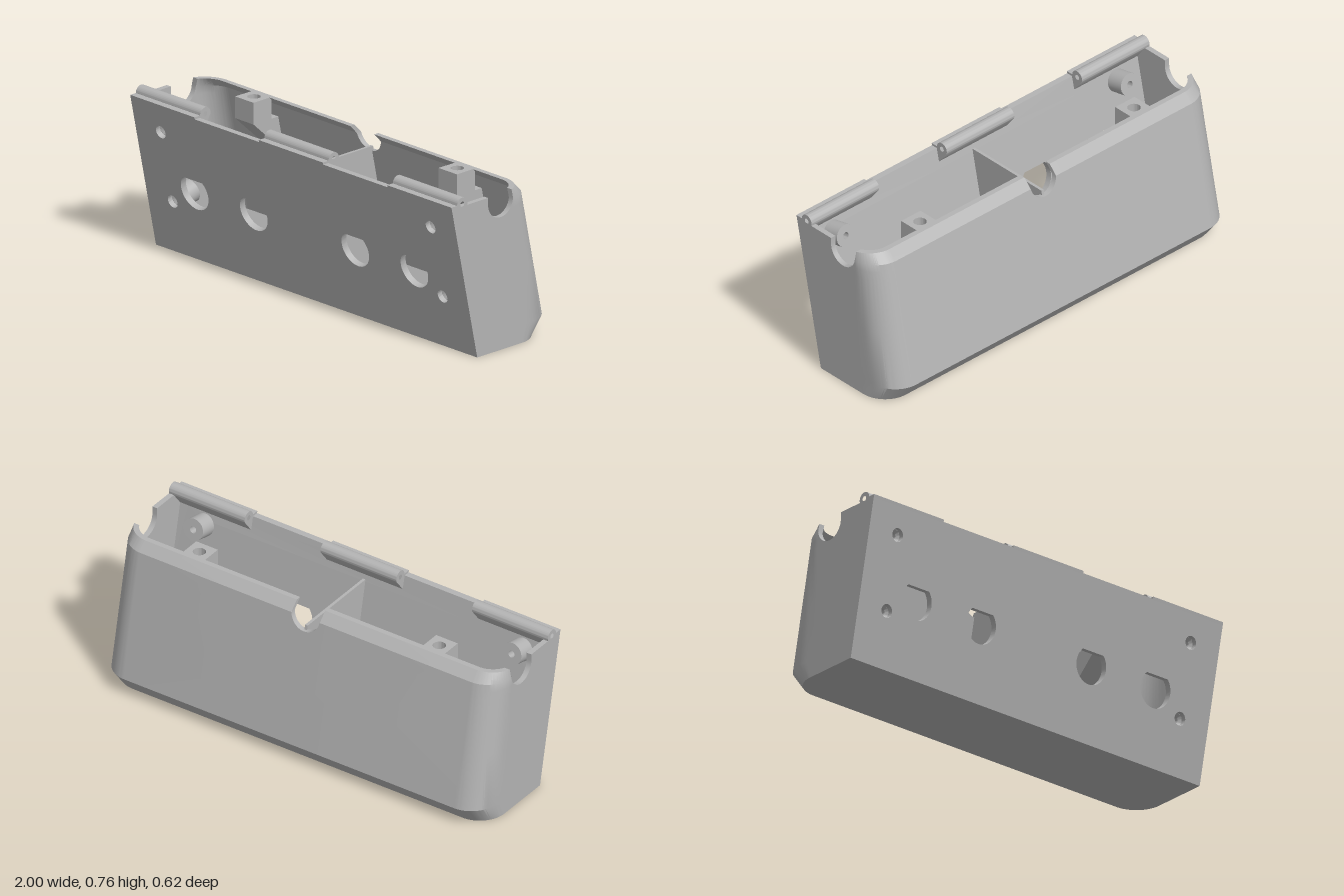
import * as THREE from 'three';
import { toCreasedNormals } from 'three/addons/utils/BufferGeometryUtils.js';

const TOP = 0.717, WALL = 0.025, R = 0.13, SLOPE = 0.213;
const NOTCH = 0.075, NOTCH_Y = 0.685, NOTCH_Z = 0.015;
const lerp = THREE.MathUtils.lerp;

// Front and back z of the leaning body at height y
const frontZ = (y) => 0.155 + SLOPE * y;
function backZ(y) {
  const p = [[0, -0.243], [0.085, -0.308], [0.675, -0.184], [TOP, -0.143]];
  const i = y < p[1][0] ? 0 : y < p[2][0] ? 1 : 2;
  return lerp(p[i][1], p[i + 1][1], (y - p[i][0]) / (p[i + 1][0] - p[i][0]));
}
// Half width at z, rounded toward the back; w is the inset
function halfWidth(z, y, w) {
  const d = backZ(y) + R - z;
  return d <= 0 ? 1 - w : 1 - R + Math.sqrt(Math.max(0, (R - w) ** 2 - d * d));
}

// U-shaped wall: columns run from the left front edge round the back to the right
function wallGeometry() {
  const cols = [];
  const add = (top, at) => cols.push({ top, at });
  const side = (z) => (y, w) => [halfWidth(z, y, w), z];
  const z0 = NOTCH_Z + NOTCH, z1 = NOTCH_Z - NOTCH;
  const dip = (a) => NOTCH_Y - NOTCH * Math.sin(a);
  add(TOP, (y, w) => [1 - w, frontZ(y) - 0.01]);
  add(TOP, side(z0));
  for (let i = 0; i <= 20; i++) {
    const a = (i / 20) * Math.PI;
    add(dip(a), side(NOTCH_Z + NOTCH * Math.cos(a)));
  }
  for (let i = 0; i <= 28; i++) {
    const v = Math.sin((i / 28) * Math.PI / 2);
    add(TOP, (y, w) => {
      const z = lerp(z1, backZ(y) + w, v);
      return [halfWidth(z, y, w), z];
    });
  }
  const back = (x) => (y, w) => [x, backZ(y) + w];
  add(TOP, back(NOTCH));
  for (let i = 0; i <= 10; i++) {
    const a = (i / 10) * Math.PI / 2;
    add(dip(a), back(NOTCH * Math.cos(a)));
  }
  const mirrored = cols.slice(0, -1).reverse().map(({ top, at }) => ({
    top, at: (y, w) => { const [x, z] = at(y, w); return [-x, z]; },
  }));
  cols.push(...mirrored);

  const levels = [0, 0.085, 0.35, 0.6, 0.64, 0.675, TOP];
  const rows = [...levels.map((y) => [y, 0]), ...levels.reverse().map((y) => [y, WALL])];
  const pos = [], index = [], n = rows.length;
  cols.forEach(({ top, at }, i) => rows.forEach(([level, w], j) => {
    const y = Math.min(level, top), [x, z] = at(y, w);
    pos.push(x, y, z);
    if (i < cols.length - 1 && j < n - 1) {
      const a = i * n + j, b = a + n;
      index.push(a, b, a + 1, b, b + 1, a + 1);
    }
  }));
  const g = new THREE.BufferGeometry();
  g.setAttribute('position', new THREE.Float32BufferAttribute(pos, 3));
  g.setIndex(index);
  return toCreasedNormals(g, 0.5);
}

// Extrude a z-y outline along x
function extrudeX(shape, x0, x1) {
  const g = new THREE.ExtrudeGeometry(shape, { depth: x1 - x0, bevelEnabled: false, curveSegments: 16 });
  g.rotateY(Math.PI / 2).translate(x0, 0, 0);
  return toCreasedNormals(g, 0.5);
}
const outlineZY = (pts) => new THREE.Shape(pts.map(([z, y]) => new THREE.Vector2(-z, y)));
const circle = (x, y, r) => new THREE.Path().absarc(x, y, r, 0, Math.PI * 2, true);

const SCREWS = [[-0.84, 0.253], [-0.84, 0.59], [0.84, 0.253], [0.84, 0.59]];

// Leaning front panel with teardrop openings and screw holes bored square to it
function frontGeometry() {
  const s = new THREE.Shape([[-1, 0], [1, 0], [1, TOP], [-1, TOP]].map((p) => new THREE.Vector2(...p)));
  for (const x of [-0.684, -0.316, 0.316, 0.684]) {
    const r = 0.084, y = 0.34;
    const drop = new THREE.Path();
    drop.moveTo(x, y + r * Math.SQRT2);
    drop.absarc(x, y, r, Math.PI * 0.75, Math.PI * 2.25, false);
    drop.closePath();
    s.holes.push(drop);
  }
  for (const [x, y] of SCREWS) s.holes.push(circle(x, y, 0.03));
  const g = new THREE.ExtrudeGeometry(s, { depth: 0.03, bevelEnabled: false, curveSegments: 24 });
  const p = g.attributes.position;
  for (let i = 0; i < p.count; i++) {
    const y = p.getY(i), depth = 0.03 - p.getZ(i);
    const edge = y < 0.001 || y > TOP - 0.001;
    p.setY(i, edge ? y : y + SLOPE * depth);
    p.setZ(i, frontZ(y) - depth);
  }
  return toCreasedNormals(g, 0.5);
}

// Floor plate with rounded back corners
function floorGeometry() {
  const s = new THREE.Shape();
  const b = 0.243 - R;
  s.moveTo(-1, -0.15).lineTo(1, -0.15).lineTo(1, b);
  s.absarc(1 - R, b, R, 0, Math.PI / 2, false);
  s.absarc(-1 + R, b, R, Math.PI / 2, Math.PI, false);
  s.closePath();
  const g = new THREE.ExtrudeGeometry(s, { depth: WALL, bevelEnabled: false, curveSegments: 20 });
  return toCreasedNormals(g.rotateX(-Math.PI / 2), 0.5);
}

export function createModel() {
  const model = new THREE.Group();
  const grey = new THREE.MeshStandardMaterial({ color: 0xb4b4b4 });
  grey.name = 'grey';
  const part = (name, geometry) => {
    const m = new THREE.Mesh(geometry, grey);
    m.name = name;
    model.add(m);
    return m;
  };

  part('sideAndBackWall', wallGeometry());
  part('frontPanel', frontGeometry());
  part('floor', floorGeometry());

  // Central rib
  part('centreRib', extrudeX(outlineZY([
    [0.14, 0.01], [0.265, 0.632], [-0.178, 0.632], [-0.29, 0.085], [-0.24, 0.01],
  ]), -0.007, 0.007));

  // Hinge knuckles along the front rim
  const knuckle = new THREE.Shape();
  knuckle.moveTo(-0.262, 0.655).lineTo(-0.2965, 0.665).lineTo(-0.3099, 0.727).lineTo(-0.276, 0.727);
  knuckle.absarc(-0.245, 0.727, 0.031, Math.PI, -0.33, true);
  knuckle.closePath();
  knuckle.holes.push(circle(-0.245, 0.727, 0.012));
  for (const [a, b] of [[-1, -0.6], [-0.2, 0.2], [0.6, 1]]) part('hingeKnuckle', extrudeX(knuckle, a, b));

  // Hollow screw bosses behind the front panel
  const tilt = Math.atan(SLOPE);
  const boss = toCreasedNormals(new THREE.LatheGeometry(
    [[0.052, 0], [0.052, 0.09], [0.016, 0.09], [0.016, 0.01], [0.03, 0], [0.052, 0]]
      .map((p) => new THREE.Vector2(...p)), 28), 0.5);
  for (const [x, y] of SCREWS) {
    const m = part('screwBoss', boss);
    m.rotation.x = tilt - Math.PI / 2;
    m.position.set(x, y + 0.025 * Math.sin(tilt), frontZ(y) - 0.025 * Math.cos(tilt));
  }

  // Lid screw blocks on the back wall, each with a sloping support
  const blockTop = new THREE.Shape([[-0.057, 0.022], [0.057, 0.022], [0.057, 0.13], [-0.057, 0.13]]
    .map((p) => new THREE.Vector2(...p)));
  blockTop.holes.push(circle(0, 0.08, 0.029));
  const block = toCreasedNormals(new THREE.ExtrudeGeometry(blockTop,
    { depth: 0.1, bevelEnabled: false, curveSegments: 16 }).rotateX(-Math.PI / 2), 0.5);
  const support = extrudeX(outlineZY([[-0.022, 0.617], [-0.178, 0.617], [-0.215, 0.44]].reverse()), -0.057, 0.057);
  for (const x of [-0.633, 0.633]) {
    part('lidScrewBlock', block).position.set(x, 0.617, 0);
    part('blockSupport', support).position.x = x;
  }
  return model;
}
